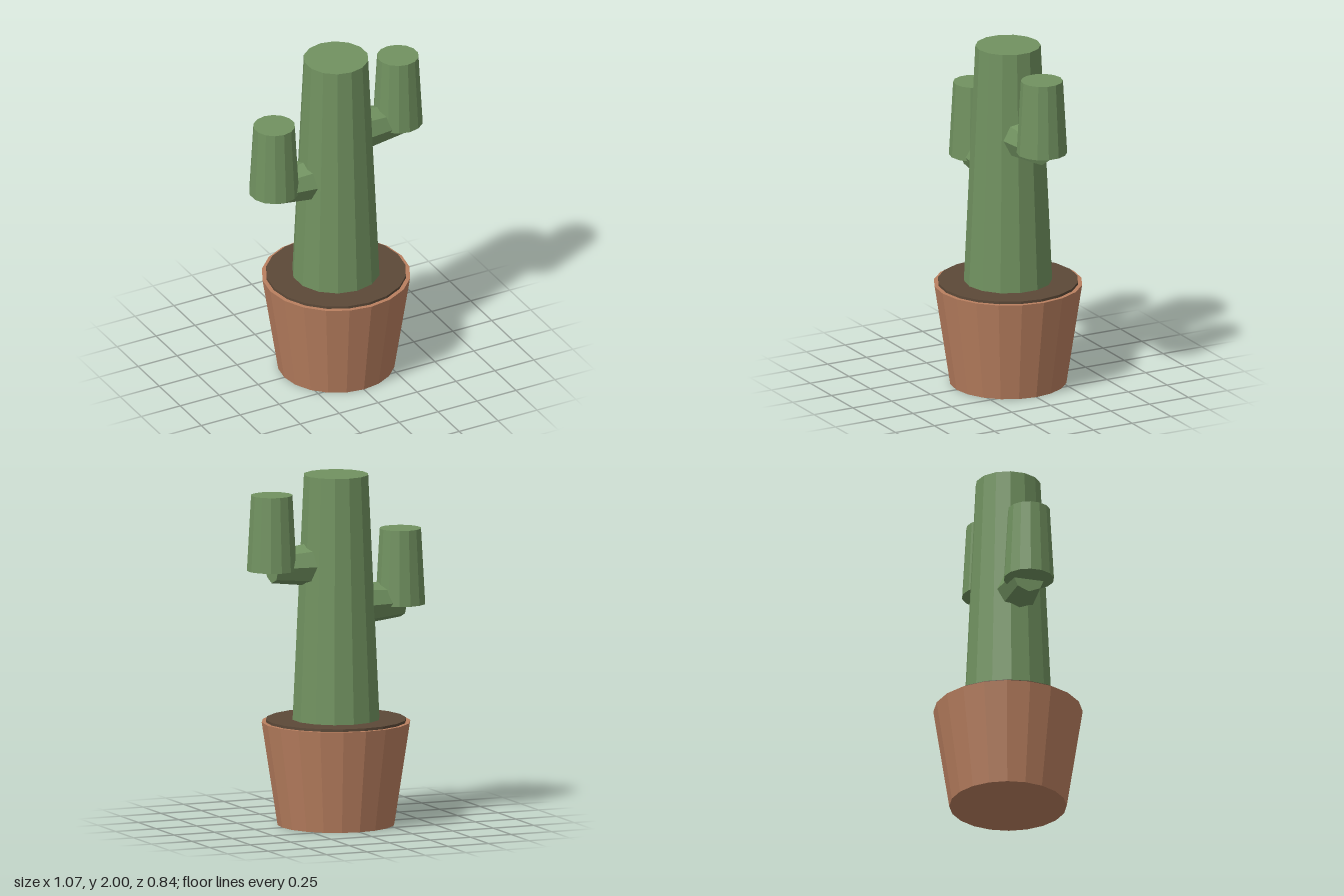
import * as THREE from 'three';

const mat = (name, color) => {
  const m = new THREE.MeshStandardMaterial({ color, flatShading: true });
  m.name = name;
  return m;
};

export function createModel() {
  const green = mat('cactus green', 0x719260);
  const clay = mat('terracotta', 0xb97f5f);
  const earth = mat('soil brown', 0x5c4938);

  const model = new THREE.Group();
  model.name = 'pottedCactus';

  // Tapered upright cylinder standing between two heights
  const column = (name, material, rTop, rBottom, y0, y1, sides, x = 0) => {
    const geo = new THREE.CylinderGeometry(rTop, rBottom, y1 - y0, sides);
    const mesh = new THREE.Mesh(geo, material);
    mesh.name = name;
    mesh.position.set(x, (y0 + y1) / 2, 0);
    model.add(mesh);
  };

  // Pot, soil and trunk
  column('pot', clay, 0.422, 0.332, 0, 0.588, 20);
  column('soil', earth, 0.398, 0.398, 0.57, 0.603, 20);
  column('trunk', green, 0.185, 0.25, 0.6, 2, 14);

  // Arms: a tapered sideways branch carrying an upright stub
  const arm = (name, side, branchY, y0, y1) => {
    const inner = 0.1, outer = 0.397;
    const geo = new THREE.CylinderGeometry(0.094, 0.129, outer - inner, 8);
    const branch = new THREE.Mesh(geo, green);
    branch.name = name + 'Branch';
    branch.rotation.z = -side * Math.PI / 2;
    branch.position.set(side * (inner + outer) / 2, branchY, 0);
    model.add(branch);
    column(name, green, 0.119, 0.143, y0, y1, 14, side * 0.397);
  };
  arm('leftArm', 1, 1.495, 1.476, 1.905);
  arm('rightArm', -1, 1.255, 1.236, 1.667);

  return model;
}
